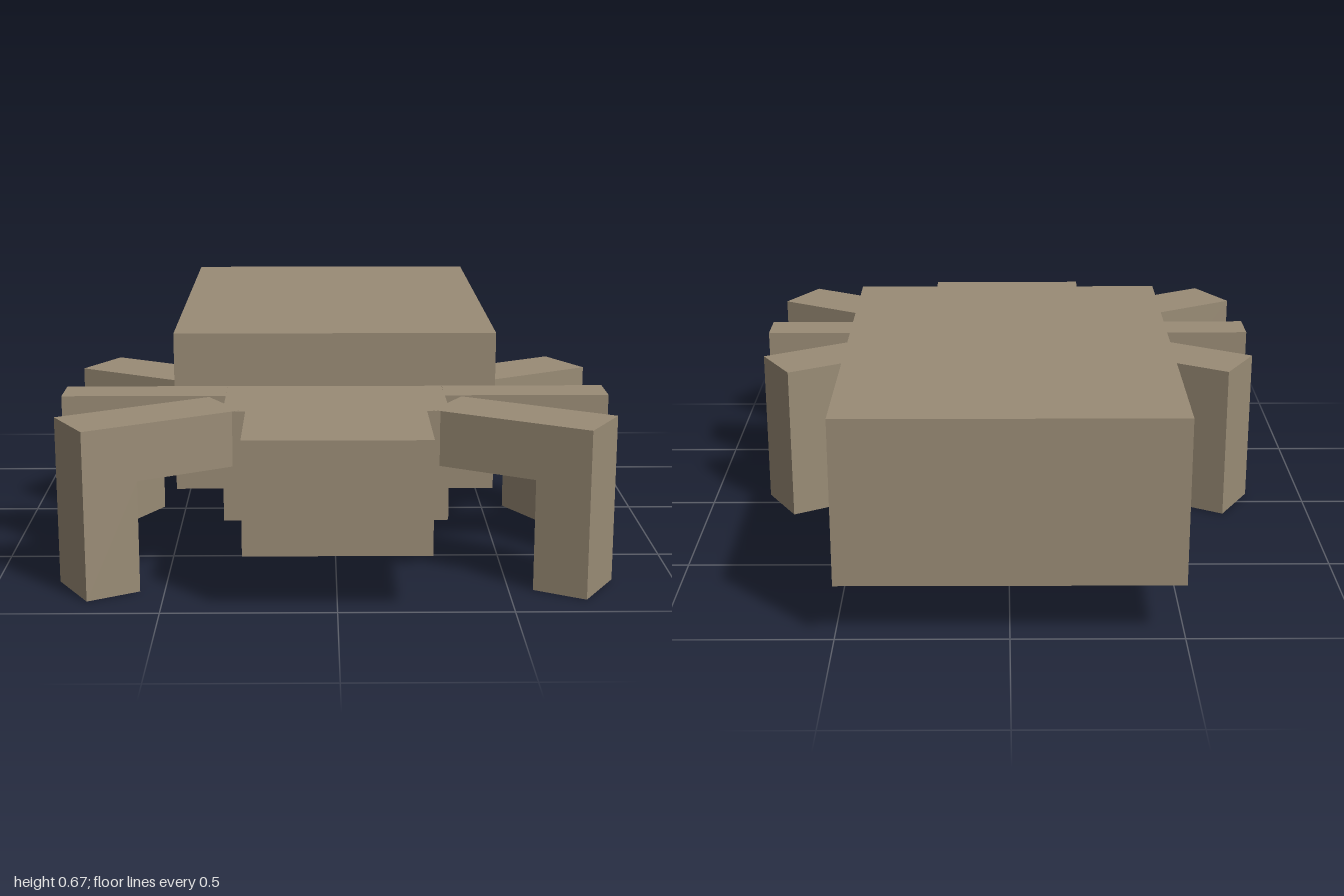
import * as THREE from 'three';

export function createModel() {
  const model = new THREE.Group();
  const tan = new THREE.MeshStandardMaterial({ color: 0x9a8c76 });
  tan.name = 'tan';
  const dark = new THREE.MeshStandardMaterial({ color: 0x2d2224 });
  dark.name = 'dark brown';

  // Box given by its size and its centre
  function addBox(name, size, position, material) {
    const mesh = new THREE.Mesh(new THREE.BoxGeometry(...size), material);
    mesh.name = name;
    mesh.position.set(...position);
    model.add(mesh);
  }

  addBox('abdomen', [1, 0.5, 1.333], [0, 0.417, -0.333], tan);
  addBox('thorax', [0.667, 0.333, 0.333], [0, 0.333, 0.5], tan);
  // Head with dark sides
  addBox('head', [0.533, 0.333, 0.333], [0, 0.333, 0.833], [dark, dark, tan, tan, tan, tan]);

  // L-shaped leg: a horizontal arm ending in a foot that reaches the ground
  function legGeometry(width) {
    const profile = new THREE.Shape();
    profile.moveTo(0, 0.333);
    profile.lineTo(0.333, 0.333);
    profile.lineTo(0.333, 0);
    profile.lineTo(0.5, 0);
    profile.lineTo(0.5, 0.5);
    profile.lineTo(0, 0.5);
    const geometry = new THREE.ExtrudeGeometry(profile, { depth: width, bevelEnabled: false });
    return geometry.translate(0, 0, -width / 2);
  }

  // Three pairs of legs, fanned out around the thorax
  const legs = [
    { name: 'frontLeg', z: 0.567, angle: -Math.PI / 6, width: 0.2 },
    { name: 'middleLeg', z: 0.4, angle: 0, width: 0.133 },
    { name: 'backLeg', z: 0.233, angle: Math.PI / 6, width: 0.2 },
  ];
  for (const { name, z, angle, width } of legs) {
    const geometry = legGeometry(width);
    for (const side of [1, -1]) {
      const leg = new THREE.Mesh(geometry, tan);
      leg.name = name + (side > 0 ? 'Left' : 'Right');
      leg.position.set(side * 0.333, 0, z);
      leg.rotation.y = side > 0 ? angle : Math.PI - angle;
      model.add(leg);
    }
  }
  return model;
}
